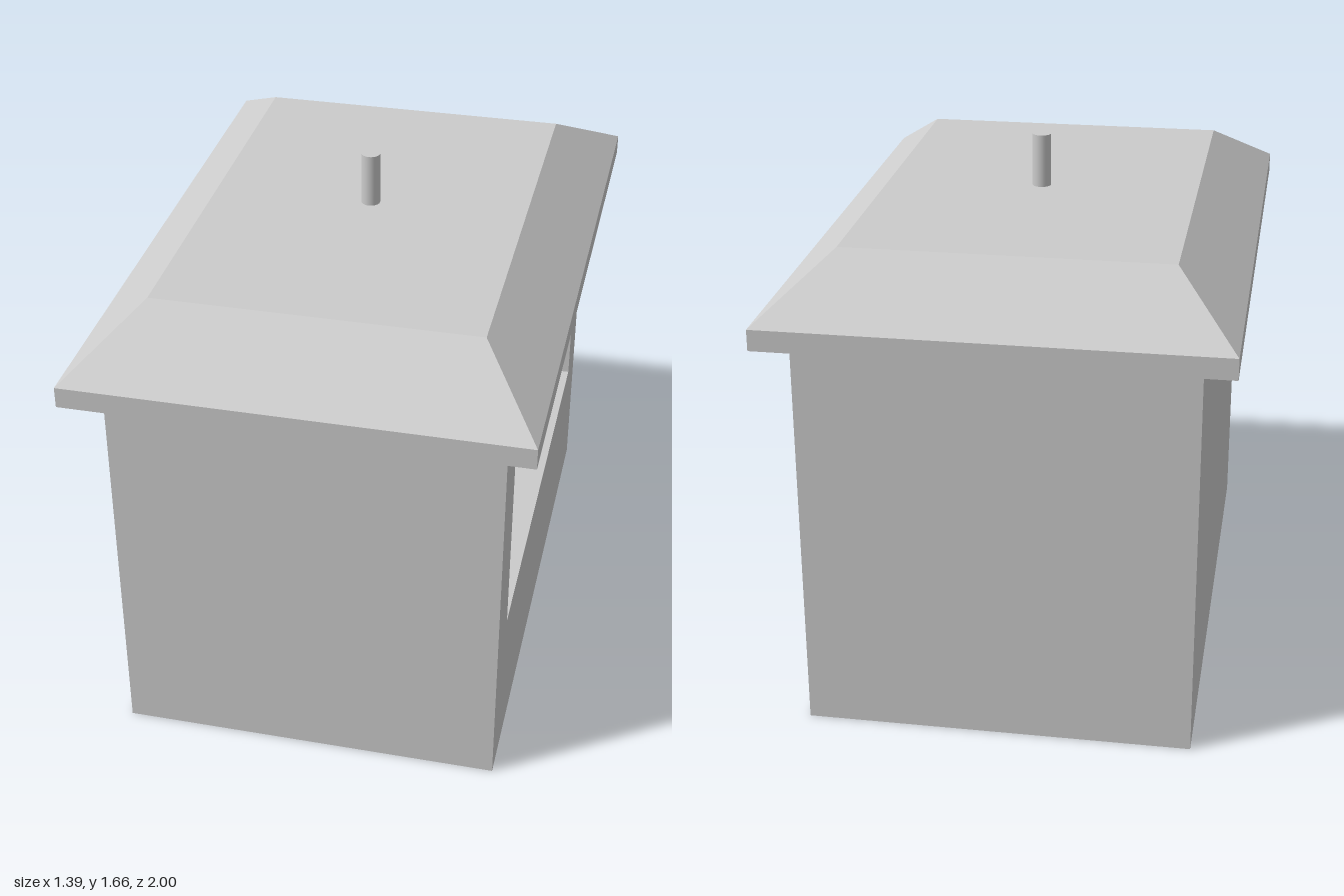
import * as THREE from 'three';

const grey = new THREE.MeshStandardMaterial({ color: 0xcccccc });

export function createModel() {
  const group = new THREE.Group();

  const add = (name, geometry) => {
    const mesh = new THREE.Mesh(geometry, grey);
    mesh.name = name;
    group.add(mesh);
    return mesh;
  };

  // Box given by its lower and upper limits on each axis
  const block = (name, [x0, x1], [y0, y1], [z0, z1]) => {
    const g = new THREE.BoxGeometry(x1 - x0, y1 - y0, z1 - z0);
    g.translate((x0 + x1) / 2, (y0 + y1) / 2, (z0 + z1) / 2);
    return add(name, g);
  };

  const left = 0.6, right = -0.595, front = 0.89, back = -0.91;
  const top = 1.27, wall = 0.08, floorTop = 0.07;
  const innerX = [right + wall, left - wall];
  const innerZ = [back + wall, front - wall];

  // Floor and closed walls
  block('floor', innerX, [0, floorTop], innerZ);
  block('frontWall', innerX, [0, top], [front - wall, front]);
  block('backWall', innerX, [0, top], [back, back + wall]);
  block('closedSideWall', [right, right + wall], [0, top], [back, front]);

  // Counter along the closed side
  block('counter', [right + wall, -0.28], [floorTop, 0.49], innerZ);

  // Side wall with the serving window; the shape's x axis becomes -z
  const rectangle = (Type, z0, z1, y0, y1) => new Type([
    new THREE.Vector2(-z1, y0), new THREE.Vector2(-z0, y0),
    new THREE.Vector2(-z0, y1), new THREE.Vector2(-z1, y1),
  ]);
  const windowShape = rectangle(THREE.Shape, back, front, 0, top);
  windowShape.holes.push(rectangle(THREE.Path, -0.74, 0.715, 0.475, 1.16));
  const windowWall = new THREE.ExtrudeGeometry(windowShape, { depth: wall, bevelEnabled: false });
  windowWall.rotateY(Math.PI / 2).translate(left - wall, 0, 0);
  add('windowWall', windowWall);

  // Eaves slab
  block('eaves', [-0.695, 0.695], [top, 1.335], [-1, 1]);

  // Sloped roof: a box whose upper corners are drawn inward
  const roof = new THREE.BoxGeometry(1.39, 0.16, 2);
  const p = roof.attributes.position;
  for (let i = 0; i < p.count; i++) {
    if (p.getY(i) > 0) p.setXYZ(i, Math.sign(p.getX(i)) * 0.5, p.getY(i), Math.sign(p.getZ(i)) * 0.715);
  }
  roof.computeVertexNormals();
  roof.translate(0, 1.415, 0);
  add('roof', roof);

  // Roof pipe
  const pipe = new THREE.CylinderGeometry(0.03, 0.03, 0.175, 32);
  pipe.translate(0.003, 1.5775, -0.015);
  add('roofPipe', pipe);

  return group;
}
